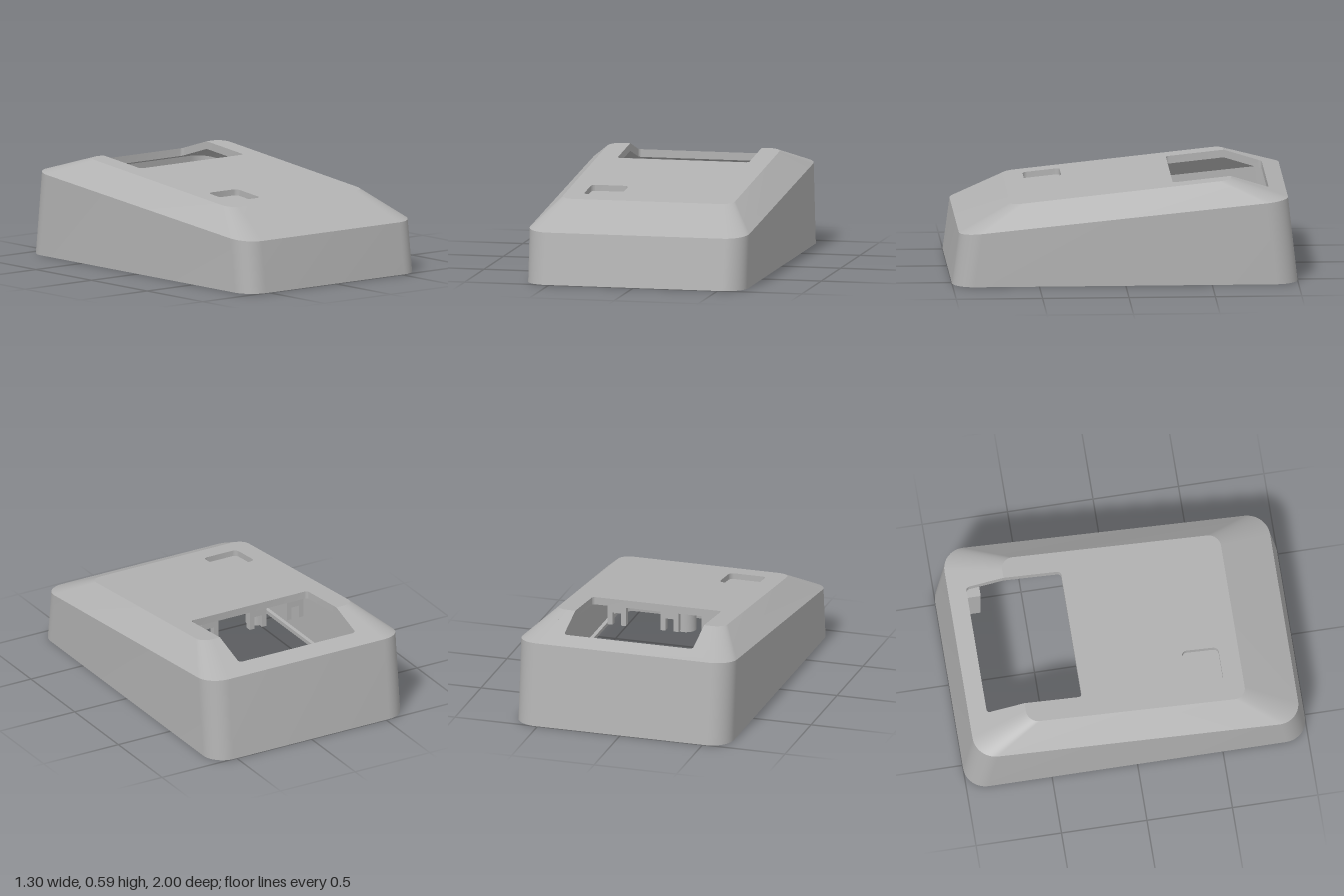
import * as THREE from 'three';
import { mergeGeometries, toCreasedNormals } from 'three/addons/utils/BufferGeometryUtils.js';

const SEG = 10;                  // segments per rounded corner
const LAST = 3 * SEG + 2;        // ring index where the straight back edge begins
const CREASE = -0.62;            // z of the ridge between top face and back bevel
const WALL = 0.045;

// Height rules of the sloping surfaces
const edgeY = z => 0.3 + (0.96 - z) * 0.0997;
const topY = z => 0.455 + (0.66 - z) * 0.1055;
const roofY = z => z >= CREASE ? topY(z) : 0.59 + (z - CREASE) * 0.308;

// Rounded rectangle in plan, as [x, z] points
function plan(x0, x1, z0, z1, r) {
  const pts = [];
  const centres = [[x1 - r, z1 - r], [x0 + r, z1 - r], [x0 + r, z0 + r], [x1 - r, z0 + r]];
  centres.forEach(([cx, cz], q) => {
    for (let i = 0; i <= SEG; i++) {
      const a = (q + i / SEG) * Math.PI / 2;
      pts.push([cx + r * Math.cos(a), cz + r * Math.sin(a)]);
    }
  });
  return pts;
}

const lift = (pts, h) => pts.map(([x, z]) => [x, h(z), z]);

// Band between two loops; faces outward when a is below b
function band(a, b, skip = -1) {
  const pos = [];
  for (let i = 0; i < a.length; i++) {
    if (i === skip) continue;
    const j = (i + 1) % a.length;
    pos.push(...a[i], ...b[i], ...a[j], ...b[i], ...b[j], ...a[j]);
  }
  const g = new THREE.BufferGeometry();
  g.setAttribute('position', new THREE.Float32BufferAttribute(pos, 3));
  return g;
}

// Flat sheet from a plan outline, raised by a height rule
function sheet(outline, h, down = false, hole = null) {
  const toV = p => p.map(([x, z]) => new THREE.Vector2(x, -z));
  const shape = new THREE.Shape(toV(outline));
  if (hole) shape.holes.push(new THREE.Path(toV(hole)));
  const src = new THREE.ShapeGeometry(shape);
  if (down) src.index.array.reverse();
  const g = src.toNonIndexed();
  g.deleteAttribute('uv');
  g.deleteAttribute('normal');
  const p = g.attributes.position;
  for (let i = 0; i < p.count; i++) {
    const z = -p.getY(i);
    p.setXYZ(i, p.getX(i), h(z), z);
  }
  return g;
}

export function createModel() {
  const model = new THREE.Group();
  model.name = 'deviceCover';
  const grey = new THREE.MeshStandardMaterial({ color: 0xb2b2b2 });
  grey.name = 'plain grey';

  const add = (name, geo, parent = model) => {
    const mesh = new THREE.Mesh(geo, grey);
    mesh.name = name;
    parent.add(mesh);
    return mesh;
  };
  const addParts = (name, parts) => add(name, toCreasedNormals(mergeGeometries(parts), 0.3));
  const group = name => {
    const g = new THREE.Group();
    g.name = name;
    model.add(g);
    return g;
  };
  const box = (name, parent, w, h, d, x, y, z) =>
    add(name, new THREE.BoxGeometry(w, h, d), parent).position.set(x, y, z);

  // Window opening, split where it crosses the ridge
  const win = plan(-0.39, 0.39, -0.84, -0.285, 0.02);
  const half = 2 * (SEG + 1);
  const winFront = [[0.39, CREASE], ...win.slice(0, half), [-0.39, CREASE]];
  const winBack = [[-0.39, CREASE], ...win.slice(half), [0.39, CREASE]];
  const winLoop = [...winFront, ...win.slice(half)];
  const button = plan(-0.4, -0.18, 0.33, 0.545, 0.03);

  const topOutline = c => [...c.slice(0, LAST + 1), ...[...winFront].reverse(), ...c.slice(LAST + 1)];
  const backOutline = (b, c) =>
    [c[LAST], b[LAST], b[LAST + 1], c[LAST + 1], ...[...winBack].reverse()];

  // Outer skin: walls, bevels, top face and back bevel
  const oA = plan(-0.65, 0.65, -1, 1, 0.13);
  const oB = plan(-0.65, 0.65, -0.945, 0.96, 0.13);
  const oC = plan(-0.51, 0.51, CREASE, 0.66, 0.07);
  const ringA = lift(oA, () => 0), ringB = lift(oB, edgeY), ringC = lift(oC, topY);
  addParts('outerShell', [
    band(ringA, ringB),
    band(ringB, ringC, LAST),
    sheet(topOutline(oC), topY, false, button),
    sheet(backOutline(oB, oC), roofY),
  ]);

  // Inner skin, facing into the cavity
  const innerRoof = z => roofY(z) - WALL;
  const iA = plan(-0.61, 0.61, -0.96, 0.96, 0.1);
  const iB = plan(-0.61, 0.61, -0.905, 0.92, 0.1);
  const iC = plan(-0.49, 0.49, CREASE, 0.645, 0.06);
  const inA = lift(iA, () => 0), inB = lift(iB, z => edgeY(z) - 0.029), inC = lift(iC, innerRoof);
  addParts('innerShell', [
    band(inB, inA),
    band(inC, inB, LAST),
    sheet(topOutline(iC), innerRoof, true),
    sheet(backOutline(iB, iC), innerRoof, true),
  ]);

  addParts('bottomRim', [band(inA, ringA)]);
  addParts('windowEdge', [band(lift(winLoop, roofY), lift(winLoop, innerRoof))]);

  // Square recess in the top face and its boss on the ceiling
  const floorY = z => topY(z) - 0.035;
  addParts('buttonRecess', [band(lift(button, topY), lift(button, floorY)), sheet(button, floorY)]);
  const pad = plan(-0.41, -0.17, 0.32, 0.555, 0.02);
  const padY = z => topY(z) - 0.057;
  addParts('recessBoss', [band(lift(pad, padY), lift(pad, innerRoof)), sheet(pad, padY, true)]);

  // Screw blocks in the back corners
  for (const s of [1, -1]) {
    const pts = [[0.41, 0.945], [0.54, 0.945], [0.62, 0.86], [0.62, 0.75], [0.41, 0.75]];
    const shape = new THREE.Shape(pts.map(([x, y]) => new THREE.Vector2(s * x, y)));
    const hole = new THREE.Path();
    hole.absarc(s * 0.51, 0.835, 0.028, 0, Math.PI * 2, true);
    shape.holes.push(hole);
    const geo = new THREE.ExtrudeGeometry(shape, { depth: 0.28, bevelEnabled: false, curveSegments: 12 });
    geo.rotateX(-Math.PI / 2);
    add('cornerScrewBlock', geo).position.y = 0.005;
  }

  // U-shaped hooks on the inside of the front wall
  for (const x of [-0.22, 0.22]) {
    const hook = group('frontHook');
    box('hookBase', hook, 0.13, 0.025, 0.07, x, 0.19, 0.91);
    for (const s of [-1, 1]) box('hookProng', hook, 0.025, 0.06, 0.07, x + s * 0.052, 0.16, 0.91);
  }

  // Clips hanging from the ceiling in front of the window
  for (const x of [-0.32, -0.07, 0.25]) {
    const clip = group('ceilingClip');
    box('clipBase', clip, 0.11, 0.05, 0.04, x, 0.49, -0.25);
    for (const s of [-1, 1]) box('clipProng', clip, 0.03, 0.12, 0.04, x + s * 0.04, 0.45, -0.25);
  }

  // Hollow post under the ceiling
  const post = new THREE.LatheGeometry(
    [[0.025, 0.14], [0.025, 0], [0.06, 0], [0.06, 0.16]].map(([x, y]) => new THREE.Vector2(x, y)), 24);
  add('ceilingPost', toCreasedNormals(post, 0.6)).position.set(-0.13, 0.365, -0.14);

  // Locating rails just inside the rim
  for (const s of [-1, 1]) box('sideRail', model, 0.025, 0.02, 1.5, s * 0.6, 0.035, 0.05);
  box('frontRail', model, 0.95, 0.02, 0.025, 0, 0.035, 0.945);

  return model;
}
